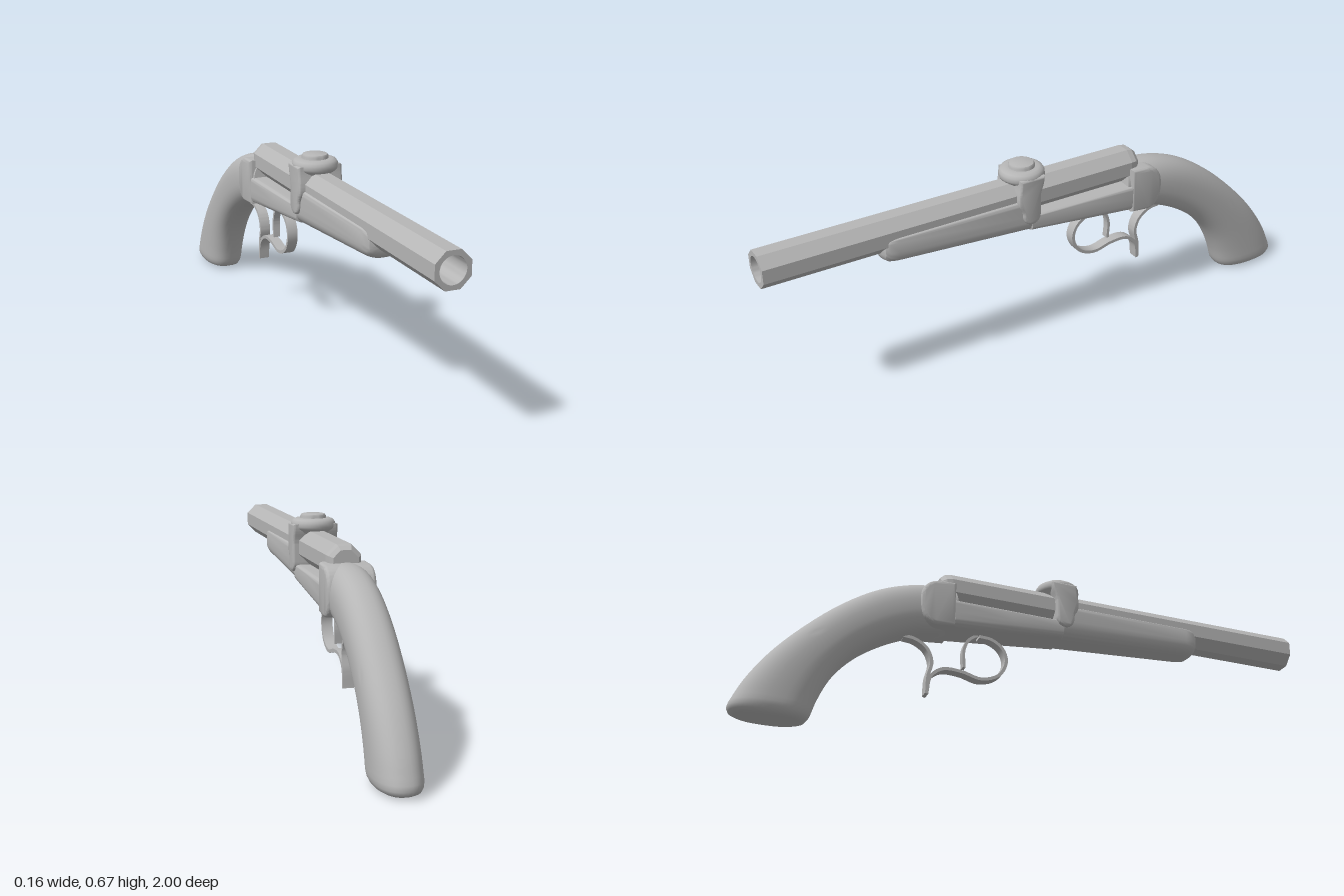
import * as THREE from 'three';
import { toCreasedNormals } from 'three/addons/utils/BufferGeometryUtils.js';

const metal = new THREE.MeshStandardMaterial({ color: 0xb6b6b6 });
metal.name = 'plain grey';

function part(group, name, geometry, crease = 0.6) {
  const mesh = new THREE.Mesh(toCreasedNormals(geometry, crease), metal);
  mesh.name = name;
  group.add(mesh);
  return mesh;
}

// Skin over a run of closed rings going from front to back, capped at both ends
function loft(rings) {
  const n = rings[0].length, pos = [], idx = [];
  rings.forEach(r => r.forEach(p => pos.push(p.x, p.y, p.z)));
  for (let i = 0; i < rings.length - 1; i++) {
    for (let j = 0; j < n; j++) {
      const a = i * n + j, b = i * n + (j + 1) % n;
      idx.push(a, a + n, b, b, a + n, b + n);
    }
  }
  [rings[0], rings[rings.length - 1]].forEach((ring, end) => {
    const c = ring.reduce((s, p) => s.add(p), new THREE.Vector3()).divideScalar(n);
    const ci = pos.length / 3, base = end ? (rings.length - 1) * n : 0;
    pos.push(c.x, c.y, c.z);
    for (let j = 0; j < n; j++) {
      const a = base + j, b = base + (j + 1) % n;
      if (end) idx.push(ci, b, a); else idx.push(ci, a, b);
    }
  });
  const g = new THREE.BufferGeometry();
  g.setAttribute('position', new THREE.Float32BufferAttribute(pos, 3));
  g.setIndex(idx);
  return g;
}

const power = (v, p) => Math.sign(v) * Math.pow(Math.abs(v), p);

// Rounded cross-section between a lower and an upper point in the z-y plane
function section(top, bottom, w, pTop, pBottom, n = 40) {
  const ring = [];
  for (let j = 0; j < n; j++) {
    const t = (j / n) * Math.PI * 2, c = Math.cos(t), s = Math.sin(t);
    const p = s > 0 ? pTop : pBottom, k = 0.5 + 0.5 * power(s, p);
    ring.push(new THREE.Vector3(w * power(c, p),
      bottom[1] + (top[1] - bottom[1]) * k, bottom[0] + (top[0] - bottom[0]) * k));
  }
  return ring;
}

// Side outline (z, y) extruded across x and centred
function sideExtrude(shape, width, bevel = 0) {
  const g = new THREE.ExtrudeGeometry(shape, {
    depth: width - 2 * bevel, bevelEnabled: bevel > 0, bevelSize: bevel,
    bevelThickness: bevel, bevelOffset: -bevel, bevelSegments: 4, curveSegments: 16
  });
  g.translate(0, 0, bevel - width / 2);
  return g.rotateY(-Math.PI / 2);
}

// Flat metal strip following points in the side plane
function ribbon(points, width, thick) {
  const curve = new THREE.CatmullRomCurve3(points.map(p => new THREE.Vector3(p[0], p[1], 0)));
  const outer = [], inner = [];
  for (let i = 0; i <= 40; i++) {
    const p = curve.getPoint(i / 40), t = curve.getTangent(i / 40);
    outer.push(new THREE.Vector2(p.x - t.y * thick / 2, p.y + t.x * thick / 2));
    inner.unshift(new THREE.Vector2(p.x + t.y * thick / 2, p.y - t.x * thick / 2));
  }
  return sideExtrude(new THREE.Shape([...outer, ...inner]), width);
}

export function createModel() {
  const model = new THREE.Group();
  model.name = 'antiquePistol';

  // Octagonal barrel with a round bore
  const R = 0.0565 / Math.cos(Math.PI / 8), barrelY = 0.555;
  const octagon = new THREE.Shape();
  for (let i = 0; i < 8; i++) {
    const a = (i + 0.5) * Math.PI / 4;
    octagon[i ? 'lineTo' : 'moveTo'](R * Math.cos(a), R * Math.sin(a));
  }
  octagon.closePath();
  octagon.holes.push(new THREE.Path().absarc(0, 0, 0.042, 0, Math.PI * 2, true));
  const barrel = new THREE.ExtrudeGeometry(octagon, { depth: 1.31, bevelEnabled: false, curveSegments: 16 });
  part(model, 'barrel', barrel.translate(0, barrelY, -0.31));

  // Chamfered breech plug closing the barrel
  const ends = [[-0.31, 1], [-0.33, 0.93], [-0.345, 0.72]];
  part(model, 'breech', loft(ends.map(([z, s]) => Array.from({ length: 8 }, (_, i) => {
    const a = (i + 0.5) * Math.PI / 4;
    return new THREE.Vector3(R * s * Math.cos(a), barrelY + R * s * Math.sin(a), z);
  }))), 0.3);

  // Fore stock: z, top, bottom, half width, roundness of the underside
  const stock = [
    [0.612, 0.53, 0.49, 0.04, 0.9], [0.606, 0.545, 0.474, 0.053, 0.85],
    [0.592, 0.553, 0.464, 0.06, 0.8], [0.565, 0.556, 0.459, 0.063, 0.8],
    [0.09, 0.556, 0.432, 0.067, 0.6], [0.088, 0.495, 0.432, 0.067, 0.6],
    [-0.1, 0.495, 0.415, 0.071, 0.5], [-0.305, 0.495, 0.398, 0.075, 0.4],
    [-0.307, 0.55, 0.398, 0.075, 0.4], [-0.37, 0.55, 0.394, 0.076, 0.4]
  ];
  part(model, 'foreStock', loft(stock.map(([z, t, b, w, p]) => section([z, t], [z, b], w, 0.2, p))));

  // Rounded cheek plates where stock meets grip
  const cheek = new THREE.Shape();
  cheek.moveTo(-0.303, 0.556);
  cheek.lineTo(-0.36, 0.554);
  cheek.bezierCurveTo(-0.41, 0.55, -0.425, 0.51, -0.425, 0.475);
  cheek.bezierCurveTo(-0.425, 0.42, -0.405, 0.392, -0.365, 0.391);
  cheek.lineTo(-0.303, 0.397);
  cheek.closePath();
  part(model, 'cheekPlates', sideExtrude(cheek, 0.158, 0.012));

  // Curved grip: back z, y, inner z, y, half width
  const grip = [
    [-0.30, 0.553, -0.28, 0.41, 0.066], [-0.36, 0.557, -0.34, 0.387, 0.071],
    [-0.44, 0.548, -0.43, 0.366, 0.072], [-0.55, 0.51, -0.52, 0.325, 0.072],
    [-0.67, 0.435, -0.605, 0.267, 0.072], [-0.79, 0.33, -0.665, 0.205, 0.072],
    [-0.89, 0.22, -0.70, 0.15, 0.072], [-0.96, 0.115, -0.728, 0.085, 0.072],
    [-0.994, 0.042, -0.743, 0.036, 0.072]
  ];
  const backCurve = new THREE.CatmullRomCurve3(grip.map(g => new THREE.Vector3(g[0], g[1], g[4])));
  const frontCurve = new THREE.CatmullRomCurve3(grip.map(g => new THREE.Vector3(g[2], g[3], 0)));
  const gripRings = [];
  for (let i = 0; i <= 32; i++) {
    const o = backCurve.getPoint(i / 32), f = frontCurve.getPoint(i / 32);
    gripRings.push(section([o.x, o.y], [f.x, f.y], o.z, 0.85, 0.8));
  }
  [[-0.998, 0.026, -0.748, 0.024, 0.07], [-0.992, 0.013, -0.757, 0.012, 0.064],
    [-0.975, 0.005, -0.775, 0.005, 0.052], [-0.94, 0.001, -0.81, 0.001, 0.034]]
    .forEach(g => gripRings.push(section([g[0], g[1]], [g[2], g[3]], g[4], 0.85, 0.8)));
  part(model, 'grip', loft(gripRings), 0.9);

  // Cap over the barrel with its button
  const cap = [[0, 0.59], [0.05, 0.59], [0.058, 0.606], [0.072, 0.617], [0.076, 0.625],
    [0.075, 0.638], [0.069, 0.647], [0.058, 0.652], [0.044, 0.652], [0.044, 0.659],
    [0.04, 0.665], [0.033, 0.667], [0, 0.667]];
  const capGeo = new THREE.LatheGeometry(cap.map(p => new THREE.Vector2(...p)), 32);
  part(model, 'barrelCap', capGeo.translate(0, 0, 0.09), 0.7);

  // Saddle straps reaching down both sides
  const strap = new THREE.Shape();
  strap.moveTo(0.135, 0.635);
  strap.lineTo(0.045, 0.635);
  strap.bezierCurveTo(0.045, 0.6, 0.06, 0.59, 0.06, 0.56);
  strap.lineTo(0.06, 0.505);
  strap.bezierCurveTo(0.06, 0.457, 0.125, 0.457, 0.125, 0.505);
  strap.bezierCurveTo(0.125, 0.53, 0.142, 0.53, 0.142, 0.56);
  strap.bezierCurveTo(0.142, 0.59, 0.135, 0.6, 0.135, 0.635);
  part(model, 'sideStraps', sideExtrude(strap, 0.154, 0.008));

  // Trigger guard, rear scroll and trigger
  part(model, 'triggerGuard', ribbon([[-0.2, 0.402], [-0.155, 0.397], [-0.117, 0.37], [-0.103, 0.325],
    [-0.128, 0.272], [-0.19, 0.247], [-0.26, 0.262], [-0.325, 0.261], [-0.365, 0.228],
    [-0.376, 0.165]], 0.036, 0.011));
  part(model, 'guardScroll', ribbon([[-0.46, 0.358], [-0.42, 0.352], [-0.38, 0.325], [-0.363, 0.28],
    [-0.374, 0.225], [-0.376, 0.168]], 0.036, 0.011));
  part(model, 'trigger', ribbon([[-0.205, 0.408], [-0.235, 0.385], [-0.251, 0.345], [-0.249, 0.282]], 0.024, 0.01));

  return model;
}
